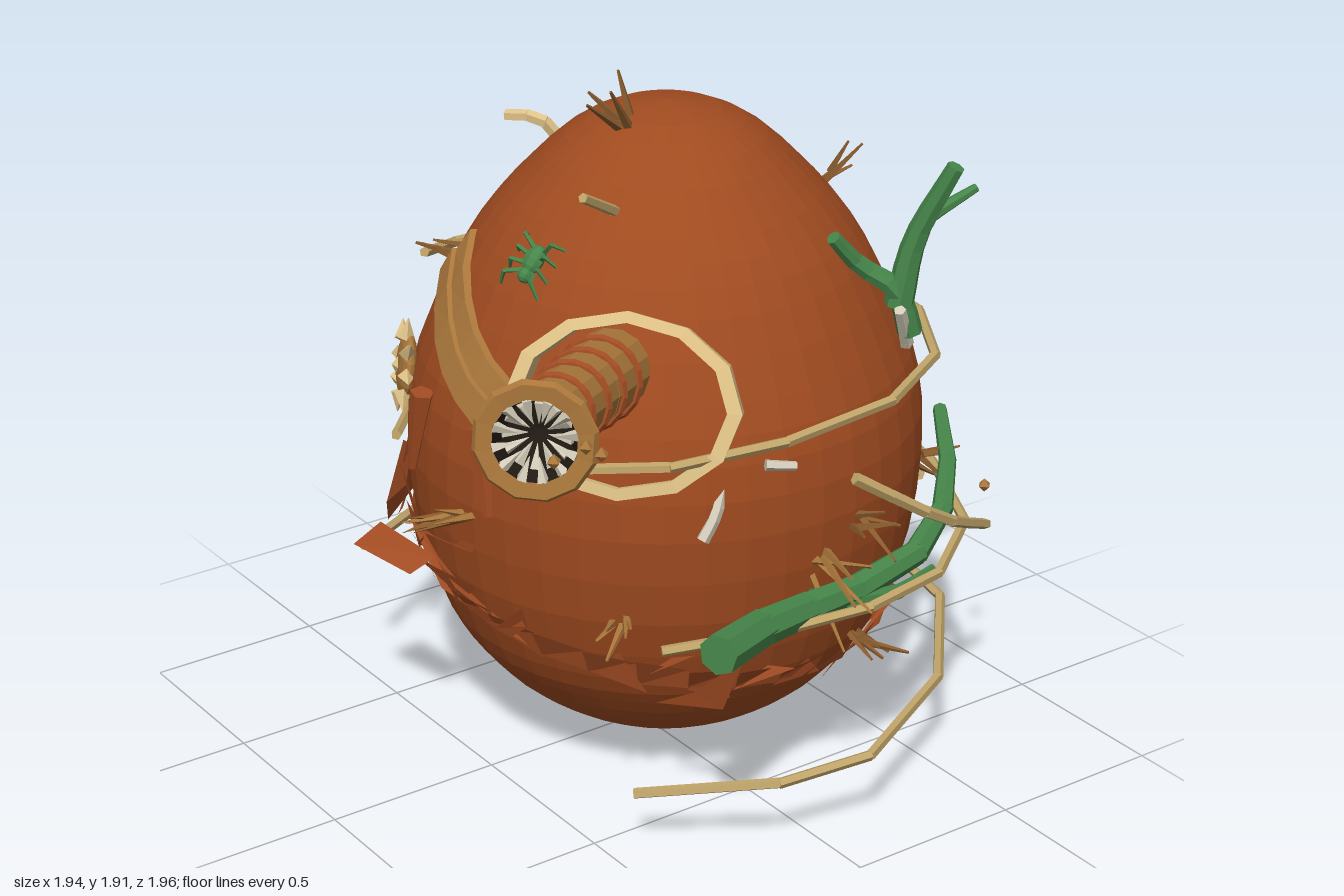
import * as THREE from 'three';

const V = (x, y, z) => new THREE.Vector3(x, y, z);
const UP = V(0, 1, 0);
const mat = (name, color, side = THREE.FrontSide) => {
  const m = new THREE.MeshStandardMaterial({ color, side, flatShading: true });
  m.name = name;
  return m;
};

export function createModel() {
  const model = new THREE.Group();
  const clay = mat('clay', 0xa04b20), rust = mat('rust', 0xa24c23, THREE.DoubleSide);
  const bark = mat('bark', 0xaa773b, THREE.DoubleSide), straw = mat('straw', 0xc0a469);
  const cream = mat('cream', 0xdfc287, THREE.DoubleSide), leaf = mat('leaf', 0x46854a);
  const thorn = mat('thorn', 0x8a5c2e), bone = mat('bone', 0xd2cbb8), dark = mat('dark', 0x211a14, THREE.DoubleSide);

  let seed = 7;
  const rnd = (a = 0, b = 1) => {
    seed = (seed * 16807) % 2147483647;
    return a + (b - a) * seed / 2147483647;
  };
  const add = (name, geo, material, parent = model) => {
    const m = new THREE.Mesh(geo, material);
    m.name = name;
    parent.add(m);
    return m;
  };
  const group = (name) => {
    const g = new THREE.Group();
    g.name = name;
    model.add(g);
    return g;
  };

  // Egg body
  const CX = -0.02, CZ = -0.1;
  const profile = [[0, 0], [.12, .012], [.24, .05], [.36, .115], [.47, .2], [.555, .3], [.615, .4], [.68, .6], [.708, .85],
    [.69, 1.05], [.64, 1.2], [.545, 1.4], [.465, 1.52], [.375, 1.62], [.27, 1.72], [.15, 1.785], [0, 1.81]];
  const outline = new THREE.SplineCurve(profile.map(p => new THREE.Vector2(...p))).getPoints(32);
  outline.forEach(p => { p.x = Math.max(0, p.x); });
  const egg = add('eggBody', new THREE.LatheGeometry(outline, 40), clay);
  egg.position.set(CX, 0, CZ);

  const radiusAt = (y) => {
    const i = Math.max(1, profile.findIndex(p => p[1] >= y));
    const [r0, y0] = profile[i - 1], [r1, y1] = profile[i];
    return r0 + (r1 - r0) * (y - y0) / (y1 - y0);
  };
  // Point on the shell at an angle in degrees from the front towards +x
  const on = (deg, y, off = 0) => {
    const a = THREE.MathUtils.degToRad(deg), r = radiusAt(y) + off;
    return V(CX + r * Math.sin(a), y, CZ + r * Math.cos(a));
  };
  const front = (x, y, off = 0) => on(THREE.MathUtils.radToDeg(Math.asin((x - CX) / radiusAt(y))), y, off);
  const normal = (p) => V(p.x - CX, (p.y - .85) * .65, p.z - CZ).normalize();

  // Tapered rod through a list of points
  const limb = (name, pts, r0, r1, material, parent = model, sides = 6) => {
    const n = pts.length - 1;
    for (let i = 0; i < n; i++) {
      const d = pts[i + 1].clone().sub(pts[i]);
      const ra = r0 + (r1 - r0) * i / n, rb = r0 + (r1 - r0) * (i + 1) / n;
      const m = add(name, new THREE.CylinderGeometry(rb, ra, d.length() + Math.min(ra, rb) * .3, sides), material, parent);
      m.position.copy(pts[i]).addScaledVector(d, .5);
      m.quaternion.setFromUnitVectors(UP, d.normalize());
    }
  };
  const path = (list, n) => new THREE.CatmullRomCurve3(list.map(p => V(...p))).getPoints(n);

  // Three loose, angular hoops of vine, open at the front
  const hoops = group('vineHoops');
  [[[.36, 1.05, .55], [.6, 1.09, .33], [.68, 1.11, .02], [.65, 1.12, -.35], [.5, 1.13, -.62], [.25, 1.14, -.77], [-.1, 1.15, -.8],
    [-.42, 1.19, -.74], [-.64, 1.22, -.52], [-.72, 1.23, -.15], [-.69, 1.25, .15], [-.54, 1.31, .34]],
  [[.64, .6, .38], [.77, .63, .1], [.83, .65, -.15], [.78, .65, -.42], [.58, .65, -.68], [.25, .66, -.84], [-.1, .69, -.89],
    [-.48, .72, -.74], [-.78, .75, -.4], [-.84, .77, -.05], [-.72, .8, .27], [-.42, .85, .52]],
  [[.6, .18, .44], [.83, .22, .14], [.88, .24, -.12], [.68, .26, -.52], [.33, .27, -.82], [-.04, .29, -.89], [-.41, .32, -.76],
    [-.78, .35, -.46], [-.91, .37, -.12], [-.85, .39, .16], [-.6, .44, .53]]
  ].forEach(p => limb('vineHoop', p.map(q => V(...q)), .015, .015, straw, hoops, 5));

  // Jagged cloth belt with loose torn flaps
  const soup = [];
  const tri = (...ps) => ps.forEach(p => soup.push(p.x, p.y, p.z));
  const beltY = (d) => .48 + .12 * Math.cos(THREE.MathUtils.degToRad(d + 60));
  for (let d = 0; d < 360; d += 12) {
    const a = beltY(d), b = beltY(d + 12), w = rnd(.025, .05);
    const p0 = on(d, a - w, .012), p1 = on(d + 12, b - .03, .025), p2 = on(d + 12, b + .035, .02), p3 = on(d, a + w, .035);
    tri(p0, p1, p2);
    tri(p0, p2, p3);
    const y = a + rnd(-.03, .03), s = rnd() < .5 ? -1 : 1;
    tri(on(d, y - .04, .01), on(d + 8, y + .04, .01), on(d + s * rnd(8, 16), y + rnd(-.1, .1), rnd(.03, .07)));
  }
  const flap = (a, b, c, e) => { tri(a, b, c); tri(a, c, e); };
  flap(V(-.9, .64, .12), V(-.84, .74, .2), V(-.66, .63, .36), V(-.74, .55, .3));
  flap(V(-.8, .54, .16), V(-.72, .67, .32), V(-.52, .6, .5), V(-.6, .5, .45));
  flap(V(-.7, .62, .28), V(-.58, .7, .38), V(-.5, .58, .46), V(-.56, .53, .44));
  flap(V(-.1, .63, .6), V(-.3, .67, .65), V(-.33, .61, .72), V(-.12, .59, .67));
  flap(V(.6, .42, .25), V(.75, .57, .2), V(.66, .38, .2), V(.5, .36, .3));
  flap(V(-.5, .5, -.6), V(-.64, .62, -.72), V(-.68, .5, -.58), V(-.6, .45, -.5));
  flap(front(-.3, .63, .02), front(.12, .76, .03), front(.1, .73, .03), front(-.2, .66, .02));
  flap(front(-.3, .66, .03), front(0, .58, .03), front(.22, .48, .03), front(-.1, .53, .03));
  flap(front(.12, .5, .03), front(.25, .62, .04), front(.24, .55, .03), front(.17, .49, .03));
  const beltGeo = new THREE.BufferGeometry();
  beltGeo.setAttribute('position', new THREE.Float32BufferAttribute(soup, 3));
  beltGeo.computeVertexNormals();
  add('tornBelt', beltGeo, rust);

  // Bark strap curving across the front
  const strap = group('barkStrap');
  const strip = (lo, hi, off) => {
    const verts = [], idx = [], N = 8;
    for (let i = 0; i <= N; i++) {
      const t = i / N, x = -.29 + .65 * t, y = 1.4 - .31 * t - .06 * Math.sin(Math.PI * t);
      [[lo, 0], [lo, off], [hi, off], [hi, 0]].forEach(([w, o]) => {
        const p = front(x + w * .45, y + w, o);
        verts.push(p.x, p.y, p.z);
      });
      if (i < N) for (let k = 0; k < 3; k++) {
        const q = i * 4 + k;
        idx.push(q, q + 4, q + 5, q, q + 5, q + 1);
      }
    }
    const g = new THREE.BufferGeometry();
    g.setAttribute('position', new THREE.Float32BufferAttribute(verts, 3));
    g.setIndex(idx);
    g.computeVertexNormals();
    add('barkStrip', g, bark, strap);
  };
  strip(-.055, .01, .035);
  strip(0, .065, .022);

  // Faceted collar around the trunk
  const collar = add('trunkCollar', new THREE.LatheGeometry([[1, -.07], [1.03, .03], [.9, .035], [.88, -.07]]
    .map(p => new THREE.Vector2(...p)), 12), cream);
  collar.scale.set(.3, 1, .235);
  collar.position.set(.42, 1.2, .345);
  const side = V(.72, 0, -.7).normalize(), out = V(.7, .36, .72).normalize();
  collar.quaternion.setFromRotationMatrix(new THREE.Matrix4().makeBasis(side, out, side.clone().cross(out)));

  // Ringed trunk with a flared, toothed mouth
  const trunk = group('trunk');
  const t0 = V(.3, 1.26, .27), t1 = V(.695, 1.365, .775), axis = t1.clone().sub(t0);
  limb('trunkTube', [t0, t0.clone().lerp(t1, .5), t1], .112, .088, bark, trunk, 14);
  [.3, .48, .66, .84].forEach(t => {
    const ring = add('trunkRing', new THREE.TorusGeometry(.111 - .025 * t, .014, 6, 16), rust, trunk);
    ring.position.copy(t0).addScaledVector(axis, t);
    ring.quaternion.setFromUnitVectors(V(0, 0, 1), axis.clone().normalize());
  });
  const mouth = new THREE.Group();
  mouth.name = 'trunkMouth';
  mouth.position.copy(t1);
  mouth.quaternion.setFromUnitVectors(UP, V(.75, .1, .66).normalize());
  trunk.add(mouth);
  const lathe = (name, pts, m) => add(name, new THREE.LatheGeometry(pts.map(p => new THREE.Vector2(...p)), 12), m, mouth);
  lathe('flaredLip', [[.088, -.04], [.1, .02], [.155, .13], [.145, .145], [.105, .14]], bark);
  lathe('throat', [[.105, .14], [.08, .05], [0, .03]], dark);
  for (let ring = 0; ring < 2; ring++) for (let i = 0; i < 12; i++) {
    const a = (i + ring * .5) / 12 * Math.PI * 2, r = .105 - ring * .02, h = .135 - ring * .045;
    const at = (q, y) => V(q * Math.sin(a), y, q * Math.cos(a));
    limb('tooth', [at(r, h), at(r - .06, h - .015)], .016, .001, bone, mouth, 4);
  }

  // Green branches
  const branches = group('greenBranches');
  [[[[.87, .69, .37], [.76, .66, .1], [.72, .64, -.15], [.66, .67, -.47], [.48, .73, -.7], [.24, .81, -.87]], .055, .02],
    [[[.72, .65, -.05], [.73, .6, -.3], [.66, .59, -.5]], .035, .01],
    [[[.53, 1.24, -.5], [.52, 1.36, -.46], [.46, 1.43, -.38], [.45, 1.52, -.3]], .035, .02],
    [[[.52, 1.32, -.47], [.54, 1.5, -.5], [.62, 1.71, -.56]], .04, .024],
    [[[.57, 1.57, -.52], [.6, 1.63, -.65]], .022, .012]
  ].forEach(([p, a, b]) => limb('greenBranch', path(p, 7), a, b, leaf, branches, 7));

  // Clumps of sharp stalks growing out of the shell
  const clumps = group('stalkClumps');
  const clump = (p, len, m, n = 5, spread = .6) => {
    const nrm = normal(p);
    for (let i = 0; i < n; i++) {
      const dir = nrm.clone().add(V(rnd(-1, 1), rnd(-1, 1), rnd(-1, 1)).multiplyScalar(spread)).normalize();
      const base = p.clone().add(V(rnd(-.03, .03), rnd(-.03, .03), rnd(-.03, .03)));
      limb('stalk', [base, base.clone().addScaledVector(dir, len * rnd(.7, 1.1))], .012, .004, m, clumps, 4);
    }
  };
  [[-.04, 1.91, .04], [-.06, 1.86, .12], [.07, 1.9, .14], [.05, 1.87, .2]].forEach(([x, y, z]) =>
    limb('crownStalk', [V(x * .4, 1.78, z * .4), V(x, y, z)], .014, .004, thorn, clumps, 4));
  [[-90, 1.05, .17, bark], [-52, 1.3, .12, thorn], [90, .74, .25, bark], [45, .62, .12, bark], [100, .8, .14, thorn],
    [110, .4, .13, thorn], [165, 1.53, .14, thorn], [-170, .95, .18, bark], [-75, .5, .14, thorn], [150, .75, .12, thorn]
  ].forEach(([d, y, l, m]) => clump(on(d, y), l, m));

  // Face: slit eyes and a bristling mouth
  const face = group('face');
  [[-.15, -.195], [.115, .165]].forEach(([xt, xb]) =>
    limb('eyeSlit', [front(xt, 1.09, .03), front(xb, .86, .02)], .034, .012, rust, face, 5));
  for (let i = 0; i < 8; i++) {
    const p = front(-.04 + i * .018, .78 + i * .006, -.02);
    limb('mouthBristle', [p, p.clone().add(V(rnd(-.02, .02), rnd(-.03, .04), rnd(.1, .19)))], .015, .001, i % 2 ? bark : thorn, face, 4);
  }

  // Sun badge
  const sun = group('sunBadge');
  const sp = front(-.41, 1.05, .015);
  sun.position.copy(sp);
  sun.lookAt(sp.clone().add(normal(sp)).add(V(0, 0, .35)));
  add('sunDisc', new THREE.SphereGeometry(.092, 16, 8), bark, sun).scale.z = .3;
  const gem = add('sunGem', new THREE.OctahedronGeometry(.032), cream, sun);
  gem.position.z = .022;
  gem.scale.z = .6;
  for (let i = 0; i < 8; i++) {
    const a = i * Math.PI / 4, at = (r) => V(r * Math.cos(a), r * Math.sin(a), .01);
    limb('sunRay', [at(.08), at(.138)], .024, .001, cream, sun, 4);
  }

  // Small green spider
  const spider = group('spider');
  const bp = front(.08, 1.5, .025);
  spider.position.copy(bp);
  spider.quaternion.setFromUnitVectors(V(0, 0, 1), normal(bp));
  add('spiderBody', new THREE.SphereGeometry(.038, 8, 6), leaf, spider).scale.set(.8, 1.1, .6);
  add('spiderHead', new THREE.SphereGeometry(.022, 8, 6), leaf, spider).position.y = -.045;
  for (const s of [-1, 1]) for (let i = 0; i < 4; i++) {
    const y = .03 - i * .022;
    limb('spiderLeg', [V(s * .02, y, 0), V(s * .05, y * 1.7, .025), V(s * .07, y * 2.2 - .01, -.01)], .008, .004, leaf, spider, 4);
  }

  // Loose sticks, curled roots and bone chips
  const debris = group('debris');
  [[[[.69, .95, -.2], [.73, .78, -.46], [.6, .63, -.74]], .018, straw],
    [[[.18, 1.62, .2], [.25, 1.71, .35]], .016, straw],
    [[[-.45, 1.52, -.03], [-.53, 1.55, -.1], [-.56, 1.61, -.06], [-.64, 1.61, 0]], .02, cream],
    [[[-.56, .9, -.56], [-.67, .94, -.5], [-.74, .92, -.34], [-.78, .98, -.24]], .022, cream],
    [[[.3, .66, -.75], [.1, .68, -.81]], .018, cream],
    [[[.52, 1.2, -.5], [.56, 1.32, -.44]], .02, bone],
    [[[.62, .87, .24], [.62, .93, .2], [.6, 1.01, .16]], .018, bone],
    [[[.66, 1.05, .07], [.69, 1.04, 0]], .016, bone],
    [[[-.62, .25, .1], [-.53, .32, .2]], .018, bone],
    [[[-.7, 1.29, -.37], [-.6, 1.26, -.33]], .016, bone]
  ].forEach(([p, r, m]) => limb('looseStick', path(p, 5), r, r * .85, m, debris, 5));

  // Floating chips
  [[-.95, .61, .01], [.93, 1.4, .81], [.9, 1.37, .88], [.95, 1.38, .78], [-.8, .47, -.2], [-.78, .44, -.13], [-.82, .48, -.06],
    [.21, .5, -.92], [.52, .7, -.8]
  ].forEach(p => add('floatingChip', new THREE.OctahedronGeometry(.02), bark, debris).position.set(...p));

  return model;
}
